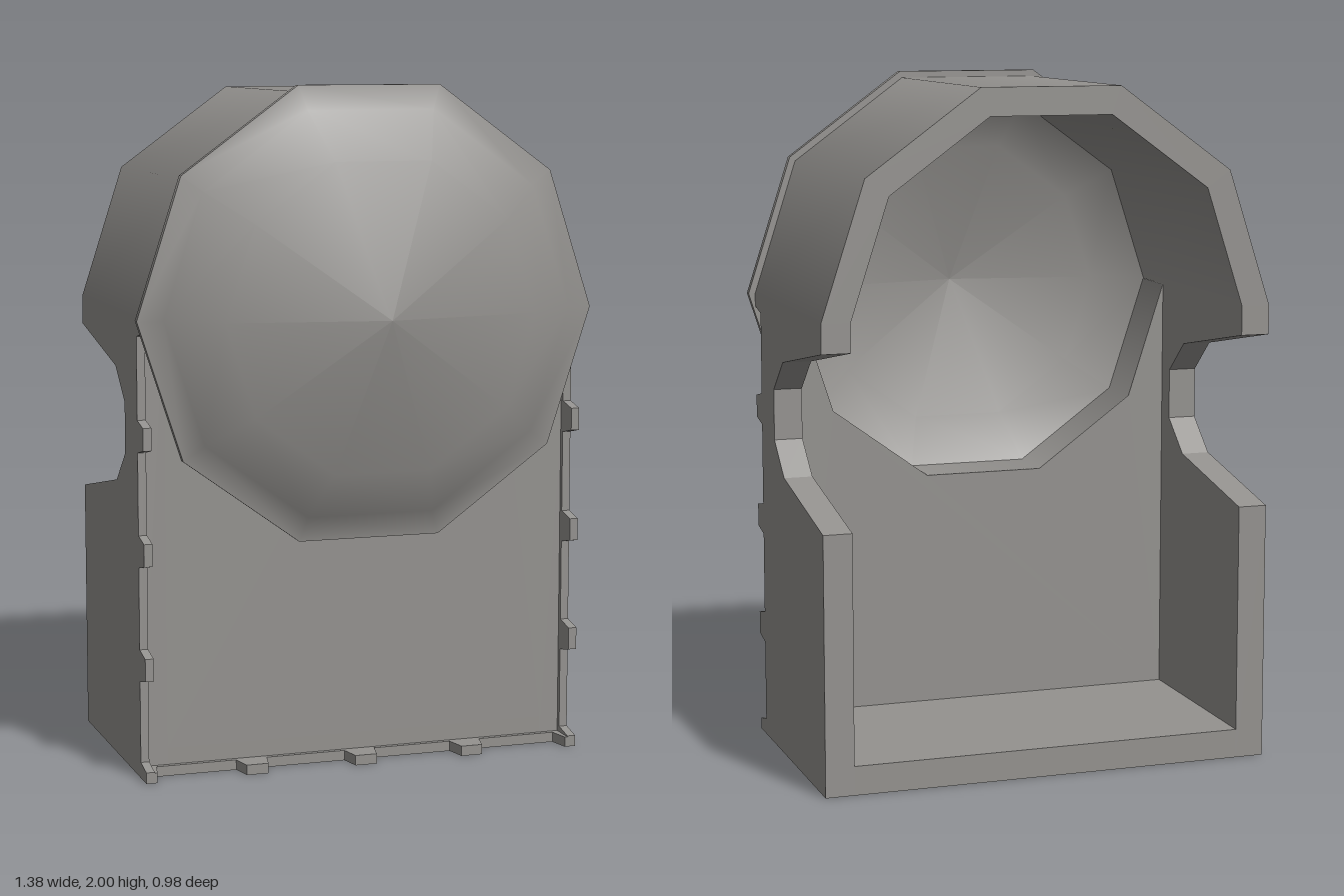
import * as THREE from 'three';

const BACK = -0.49, PANEL = 0.185, FRONT = 0.2, TIP = 0.265;
const R = 0.67, RI = 0.585, CY = 1.345, STEP = 0.335, RIM = 0.025;

export function createModel() {
  const model = new THREE.Group();
  const grey = new THREE.MeshStandardMaterial({ color: 0x94928f });
  grey.name = 'warm grey';

  const add = (name, geometry, x = 0, y = 0, z = 0) => {
    const mesh = new THREE.Mesh(geometry, grey);
    mesh.name = name;
    mesh.position.set(x, y, z);
    model.add(mesh);
  };

  // Ten-sided surface around the z axis; points are [radius, z]
  const turned = (name, points, half) => {
    const start = half === 'lower' ? -Math.PI / 2 : Math.PI / 2;
    const g = new THREE.LatheGeometry(points.map(p => new THREE.Vector2(...p)),
      half ? 5 : 10, start, half ? Math.PI : Math.PI * 2);
    add(name, g.rotateX(Math.PI / 2), 0, CY, 0);
  };

  const extrude = (points, depth) => new THREE.ExtrudeGeometry(
    new THREE.Shape(points.map(p => new THREE.Vector2(...p))), { depth, bevelEnabled: false });

  // Outline given as [z, y], thickness running towards -x from 0
  const sidePlate = (points, depth) => extrude(points, depth).rotateY(-Math.PI / 2);

  // Arched hood
  turned('hoodOuter', [[R, BACK], [R, TIP]], 'upper');
  turned('hoodBackEdge', [[RI, BACK], [R, BACK]], 'upper');
  turned('hoodInner', [[RI, 0.27], [RI, BACK]], 'upper');
  turned('drumLower', [[R, PANEL], [R, TIP]], 'lower');
  turned('openingLower', [[RI - 0.002, 0.27], [RI - 0.002, 0.11]], 'lower');

  // Domed cover with flange
  turned('flangeBack', [[RI, TIP], [0.69, TIP]]);
  turned('flangeEdge', [[0.69, TIP], [0.69, 0.287]]);
  turned('domeOuter', [[0.69, 0.287], [0.615, 0.3], [0.467, 0.41], [0, 0.49]]);
  turned('domeInner', [[0, 0.45], [0.44, 0.37], [RI, 0.27]]);

  // Side walls with a notch open to the back
  const wall = [[BACK, 0], [PANEL, 0], [PANEL, CY], [BACK, CY], [BACK, 1.26], [-0.06, 1.18],
    [0.05, 1.085], [0.05, 0.935], [-0.06, 0.84], [BACK, 0.755]];
  for (const [s, side] of [[1, 'left'], [-1, 'right']]) {
    add(side + 'Wall', sidePlate(wall, R - RI), s > 0 ? R : -RI);
    add(side + 'Rim', new THREE.BoxGeometry(RIM, CY, FRONT - PANEL),
      s * (R - RIM / 2), CY / 2, (FRONT + PANEL) / 2);
  }

  // Floor and its front rim
  add('floor', new THREE.BoxGeometry(2 * RI, 0.085, PANEL - BACK), 0, 0.0425, (PANEL + BACK) / 2);
  add('bottomRim', new THREE.BoxGeometry(2 * (R - RIM), 0.03, FRONT - PANEL),
    0, 0.015, (FRONT + PANEL) / 2);

  // Front panel, cut out along the lower half of the round opening
  const panel = [[-RI, 0.08], [RI, 0.08]];
  for (let i = 0; i <= 5; i++) {
    const a = -i * Math.PI / 5;
    panel.push([RI * Math.cos(a), CY + RI * Math.sin(a)]);
  }
  add('frontPanel', extrude(panel, PANEL - 0.11), 0, 0, 0.11);

  // Tapered locating tabs, clipped at the ends of each edge
  const tab = (c, min, max) => {
    const clip = v => Math.min(max, Math.max(min, v));
    return [[clip(c - 0.047), FRONT], [clip(c + 0.047), FRONT],
      [clip(c + 0.033), TIP], [clip(c - 0.033), TIP]];
  };
  for (let i = 0; i <= 4; i++) {
    const outline = tab(i * STEP, 0, CY).map(([y, z]) => [z, y]);
    add('leftTab', sidePlate(outline, RIM), R);
    add('rightTab', sidePlate(outline, RIM), -R + RIM);
    add('bottomTab', extrude(tab((i - 2) * STEP, -R, R), 0.03).rotateX(Math.PI / 2), 0, 0.03, 0);
  }
  return model;
}
